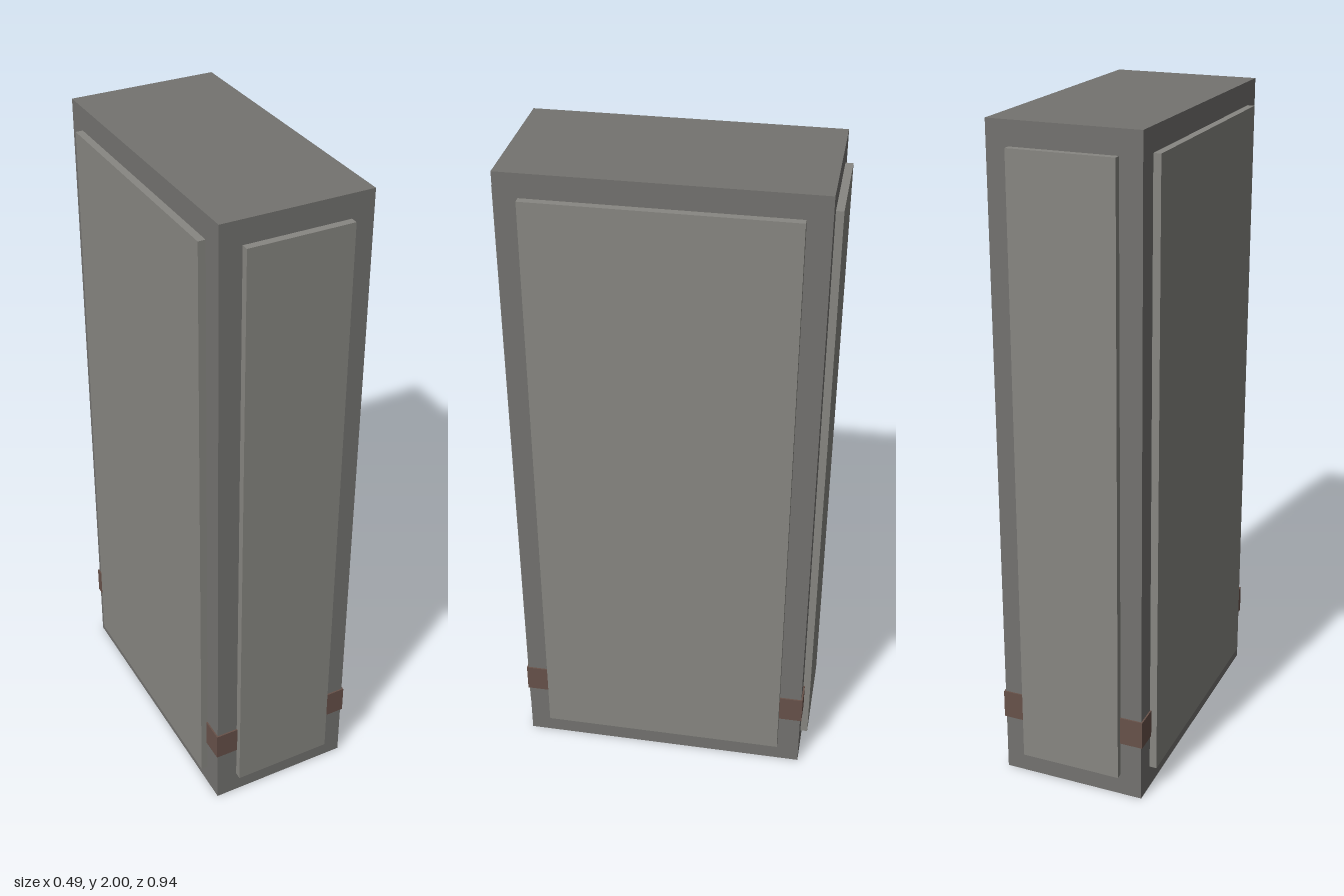
import * as THREE from 'three';

const mat = (color) => new THREE.MeshStandardMaterial({ color, flatShading: true });

export function createModel() {
  const model = new THREE.Group();
  model.name = 'panelledPillar';
  const bodyMat = mat(0x747370), panelMat = mat(0x888782), bandMat = mat(0x68524a);

  // half sizes of the core block and the raised panels
  const coreX = 0.222, coreZ = 0.446, height = 2;
  const panelX = 0.156, panelZ = 0.378, panelHeight = 1.86;
  const raise = 0.022;

  function addBox(name, material, w, h, d, x, y, z) {
    const mesh = new THREE.Mesh(new THREE.BoxGeometry(w, h, d), material);
    mesh.name = name;
    mesh.position.set(x, y, z);
    model.add(mesh);
  }

  addBox('body', bodyMat, coreX * 2, height, coreZ * 2, 0, height / 2, 0);

  // raised panels on all four sides
  for (const s of [1, -1]) {
    addBox(s > 0 ? 'frontPanel' : 'backPanel', panelMat,
      panelX * 2, panelHeight, raise, 0, height / 2, s * (coreZ + raise / 2));
    addBox(s > 0 ? 'leftPanel' : 'rightPanel', panelMat,
      raise, panelHeight, panelZ * 2, s * (coreX + raise / 2), height / 2, 0);
  }

  // brown bands wrapping each vertical corner, between the panels
  const t = 0.0045, bandY = 0.225, bandHeight = 0.088;
  const outX = coreX + t, outZ = coreZ + t;
  for (const sx of [1, -1]) {
    for (const sz of [1, -1]) {
      const name = (sz > 0 ? 'front' : 'back') + (sx > 0 ? 'Left' : 'Right') + 'CornerBand';
      addBox(name, bandMat, outX - panelX, bandHeight, outZ - panelZ,
        sx * (outX + panelX) / 2, bandY, sz * (outZ + panelZ) / 2);
    }
  }
  return model;
}
